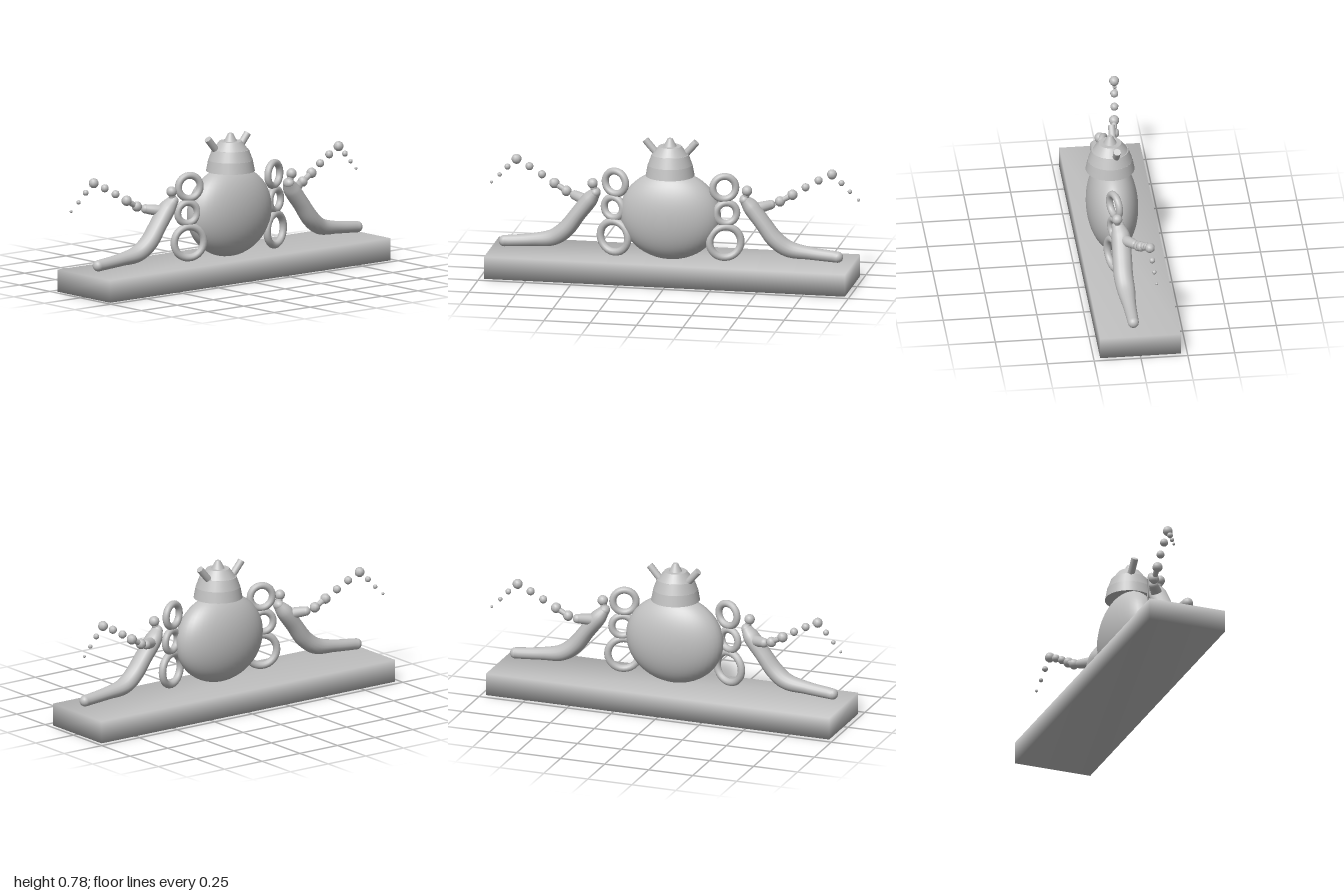
import * as THREE from 'three';
import { mergeVertices } from 'three/addons/utils/BufferGeometryUtils.js';

const stone = new THREE.MeshStandardMaterial({ color: 0xc0c0c0 });
stone.name = 'grey stone';

const vec = (x, y, z) => new THREE.Vector3(x, y, z);

function add(parent, name, geometry, x = 0, y = 0, z = 0) {
  const mesh = new THREE.Mesh(geometry, stone);
  mesh.name = name;
  mesh.position.set(x, y, z);
  parent.add(mesh);
  return mesh;
}

// Share corners so the shading runs smoothly across edges
function smooth(geometry) {
  geometry.deleteAttribute('uv');
  geometry.deleteAttribute('normal');
  const merged = mergeVertices(geometry, 1e-5);
  merged.computeVertexNormals();
  return merged;
}

function rod(parent, name, a, b, r, sides = 16) {
  const dir = b.clone().sub(a);
  const mesh = add(parent, name, new THREE.CylinderGeometry(r, r, dir.length(), sides));
  mesh.position.copy(a).add(b).multiplyScalar(0.5);
  mesh.quaternion.setFromUnitVectors(vec(0, 1, 0), dir.normalize());
}

// Rounded limb through stations [x, y, z, radius, depth radius]
function limb(parent, name, side, stations) {
  const steps = stations.length * 5;
  const path = new THREE.CatmullRomCurve3(stations.map(p => vec(side * p[0], p[1], p[2])));
  path.getPointAt = (t, target) => path.getPoint(t, target);
  path.getTangentAt = (t, target) => path.getTangent(t, target);
  const girth = new THREE.CatmullRomCurve3(stations.map(p => vec(p[3], p[4], 0)), false, 'catmullrom');
  const geometry = new THREE.TubeGeometry(path, steps, 1, 16);
  const pos = geometry.attributes.position;
  const v = vec(0, 0, 0);
  for (let i = 0; i < pos.count; i++) {
    const t = Math.floor(i / 17) / steps;
    const c = path.getPoint(t), g = girth.getPoint(t);
    v.fromBufferAttribute(pos, i).sub(c).multiply(vec(g.x, g.x, g.y)).add(c);
    pos.setXYZ(i, v.x, v.y, v.z);
  }
  add(parent, name, smooth(geometry));
  for (const p of [stations[0], stations[stations.length - 1]]) {
    const cap = add(parent, name + 'End', new THREE.SphereGeometry(1, 16, 12), side * p[0], p[1], p[2]);
    cap.scale.set(p[3], p[3], p[4]);
  }
}

// One side: handle rings, leg, neck and head, arm and bead trail
function buildSide(side) {
  const group = new THREE.Group();
  group.name = side > 0 ? 'leftSide' : 'rightSide';

  const rings = [
    [0.294, 0.524, 0.062, 0.062, 0.019],
    [0.305, 0.385, 0.06, 0.056, 0.019],
    [0.3, 0.227, 0.066, 0.084, 0.02],
  ];
  for (const [x, y, z, r, tube] of rings) {
    const ring = add(group, 'handleRing', new THREE.TorusGeometry(r, tube, 12, 28), side * x, y, z);
    ring.rotation.y = side * 0.33;
  }

  limb(group, 'leg', side, [
    [0.403, 0.462, 0.055, 0.028, 0.035],
    [0.435, 0.42, 0.045, 0.043, 0.05],
    [0.5, 0.335, 0.045, 0.043, 0.052],
    [0.565, 0.25, 0.045, 0.046, 0.052],
    [0.635, 0.2, 0.038, 0.044, 0.048],
    [0.75, 0.18, 0.034, 0.034, 0.036],
    [0.9, 0.165, 0.03, 0.03, 0.03],
  ]);
  rod(group, 'neck', vec(side * 0.405, 0.465, 0.058), vec(side * 0.417, 0.51, 0.062), 0.018, 12);
  add(group, 'head', new THREE.SphereGeometry(0.028, 14, 10), side * 0.417, 0.513, 0.062);
  limb(group, 'arm', side, [
    [0.44, 0.405, 0.04, 0.032, 0.032],
    [0.49, 0.415, 0.01, 0.029, 0.029],
    [0.53, 0.422, -0.018, 0.025, 0.025],
  ]);

  const beads = [
    [0.577, 0.438, -0.034, 0.028], [0.643, 0.476, -0.04, 0.028],
    [0.712, 0.518, -0.05, 0.022], [0.781, 0.557, -0.057, 0.022],
    [0.852, 0.592, -0.064, 0.027], [0.902, 0.545, -0.071, 0.016],
    [0.946, 0.498, -0.077, 0.012], [0.991, 0.453, -0.085, 0.008],
  ];
  for (const [x, y, z, r] of beads) add(group, 'bead', new THREE.SphereGeometry(r, 9, 7), side * x, y, z);
  rod(group, 'beadLink', vec(side * 0.577, 0.438, -0.034), vec(side * 0.643, 0.476, -0.04), 0.015, 10);
  return group;
}

export function createModel() {
  const model = new THREE.Group();
  model.name = 'mantelOrnament';

  // Plinth
  add(model, 'base', smooth(new THREE.BoxGeometry(1.95, 0.12, 0.43)), 0, 0.06, 0);

  // Flattened round body
  const body = add(model, 'body', new THREE.SphereGeometry(1, 40, 28), 0, 0.358, 0.043);
  body.scale.set(0.272, 0.243, 0.137);

  // Stepped lid: [bottom, top, bottom radius, top radius]
  const tiers = [
    [0.576, 0.635, 0.13, 0.119],
    [0.633, 0.691, 0.119, 0.098],
    [0.689, 0.736, 0.095, 0.06],
    [0.734, 0.778, 0.036, 0.013],
  ];
  for (const [y0, y1, r0, r1] of tiers) {
    add(model, 'lidTier', new THREE.CylinderGeometry(r1, r0, y1 - y0, 32), 0, (y0 + y1) / 2, 0.053);
  }

  for (const side of [1, -1]) {
    rod(model, 'horn', vec(side * 0.075, 0.685, 0.03), vec(side * 0.138, 0.758, 0.03), 0.019);
    model.add(buildSide(side));
  }
  return model;
}
